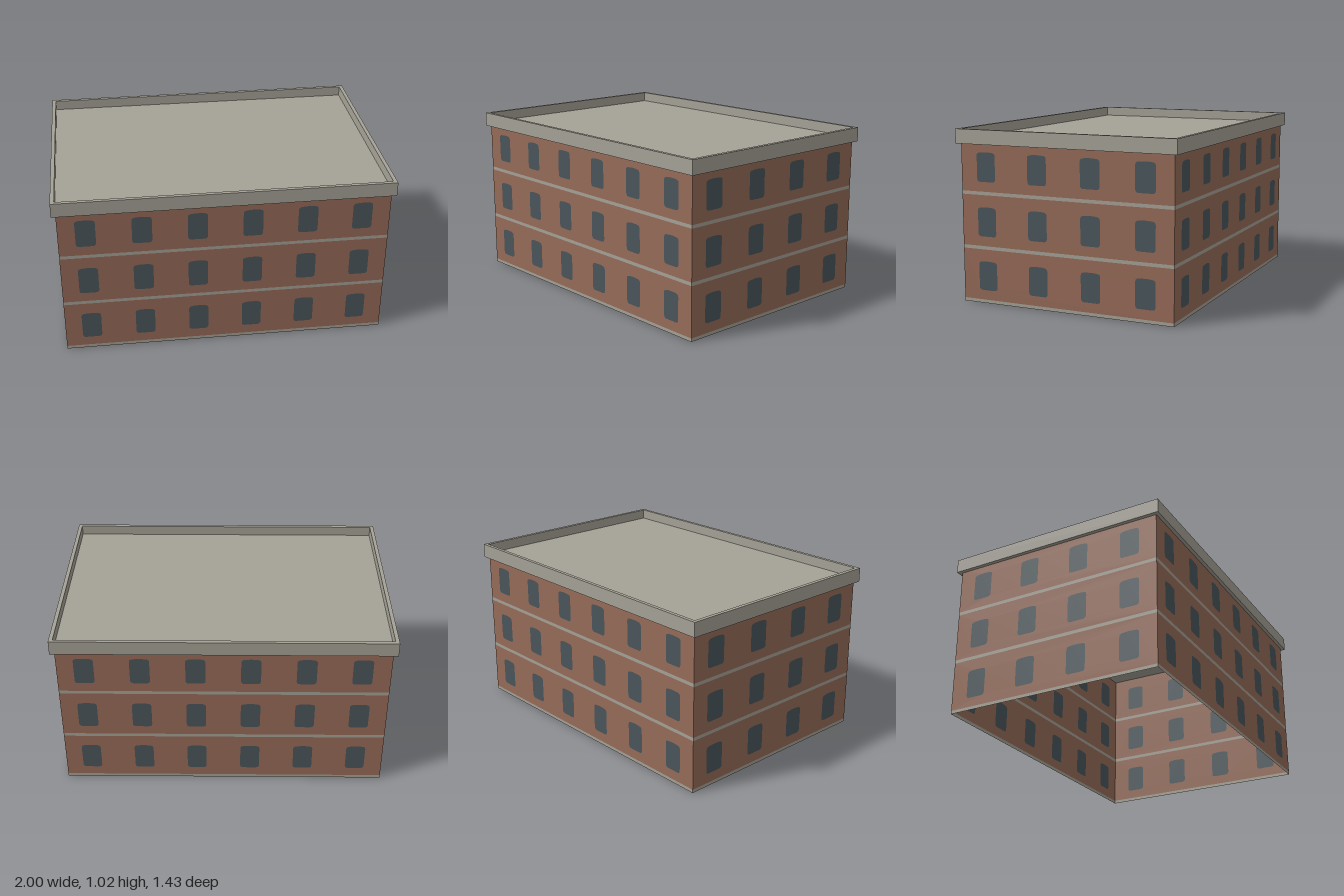
import * as THREE from 'three';

const HW = 0.959, HD = 0.668;          // wall half width and half depth
const STOREY = 0.32, BAND = 0.02, STOREYS = 3;
const TURN = 0.0254;                   // slight turn of the whole building

function mat(name, color, side = THREE.FrontSide) {
  const m = new THREE.MeshStandardMaterial({ color, side });
  m.name = name;
  return m;
}

// Window outline: rounded corners and a slightly bowed head
function windowOutline(target, cx, cy, w, h, r = 0.02) {
  const l = cx - w / 2, R = cx + w / 2, b = cy - h / 2, t = cy + h / 2;
  target.moveTo(l + r, b);
  target.lineTo(R - r, b);
  target.quadraticCurveTo(R, b, R, b + r);
  target.lineTo(R, t - r);
  target.quadraticCurveTo(R, t - 0.004, R - r, t - 0.002);
  target.quadraticCurveTo(cx, t + 0.003, l + r, t - 0.002);
  target.quadraticCurveTo(l, t - 0.004, l, t - r);
  target.lineTo(l, b + r);
  target.quadraticCurveTo(l, b, l + r, b);
  return target;
}

function rect(hw, hd, target) {
  target.moveTo(-hw, -hd);
  target.lineTo(hw, -hd);
  target.lineTo(hw, hd);
  target.lineTo(-hw, hd);
  target.closePath();
  return target;
}

export function createModel() {
  const brick = mat('brick', 0x966b58, THREE.DoubleSide);
  const glass = mat('window glass', 0x4a565b, THREE.DoubleSide);
  const stone = mat('stone', 0xa5a196, THREE.DoubleSide);

  const model = new THREE.Group();
  model.name = 'building';
  const add = (parent, name, geometry, material) => {
    const mesh = new THREE.Mesh(geometry, material);
    mesh.name = name;
    parent.add(mesh);
    return mesh;
  };

  // One wall facing +z: stone band, brick with openings and windows per storey
  function makeWall(name, halfWidth, count, winW) {
    const wall = new THREE.Group();
    wall.name = name;
    const pitch = (2 * halfWidth) / count;
    for (let s = 0; s < STOREYS; s++) {
      const y0 = s * STOREY, y1 = y0 + STOREY;
      const band = new THREE.PlaneGeometry(2 * halfWidth, BAND).translate(0, y0 + BAND / 2, 0);
      add(wall, 'floorBand', band, stone);

      const face = new THREE.Shape();
      face.moveTo(-halfWidth, y0 + BAND);
      face.lineTo(halfWidth, y0 + BAND);
      face.lineTo(halfWidth, y1);
      face.lineTo(-halfWidth, y1);
      face.closePath();
      const panes = [];
      for (let i = 0; i < count; i++) {
        const cx = (i + 0.5) * pitch - halfWidth - 0.003, cy = y0 + 0.163;
        face.holes.push(windowOutline(new THREE.Path(), cx, cy, winW, 0.172));
        panes.push(windowOutline(new THREE.Shape(), cx, cy, winW, 0.172));
      }
      add(wall, 'brickwork', new THREE.ShapeGeometry(face, 4), brick);
      add(wall, 'windows', new THREE.ShapeGeometry(panes, 4), glass);
    }
    model.add(wall);
    return wall;
  }

  const sides = [
    ['frontWall', HW, HD, 6, 0.115],
    ['leftWall', HD, HW, 4, 0.121],
    ['backWall', HW, HD, 6, 0.115],
    ['rightWall', HD, HW, 4, 0.121],
  ];
  sides.forEach(([name, half, out, count, winW], i) => {
    const wall = makeWall(name, half, count, winW);
    const a = (i * Math.PI) / 2;
    wall.rotation.y = a;
    wall.position.set(Math.sin(a) * out, 0, Math.cos(a) * out);
  });

  // Overhanging parapet ring
  const ring = rect(0.983, 0.691, new THREE.Shape());
  ring.holes.push(rect(HW + 0.001, HD + 0.001, new THREE.Path()));
  const parapet = new THREE.ExtrudeGeometry(ring, { depth: 0.085, bevelEnabled: false });
  parapet.rotateX(-Math.PI / 2).translate(0, 0.935, 0);
  add(model, 'parapet', parapet, stone);

  // Flat roof sunk behind the parapet
  const roof = new THREE.PlaneGeometry(2 * HW + 0.002, 2 * HD + 0.002);
  roof.rotateX(-Math.PI / 2).translate(0, 0.96, 0);
  add(model, 'roof', roof, stone);

  model.rotation.y = TURN;
  const root = new THREE.Group();
  root.name = 'brickBuilding';
  root.add(model);
  return root;
}
